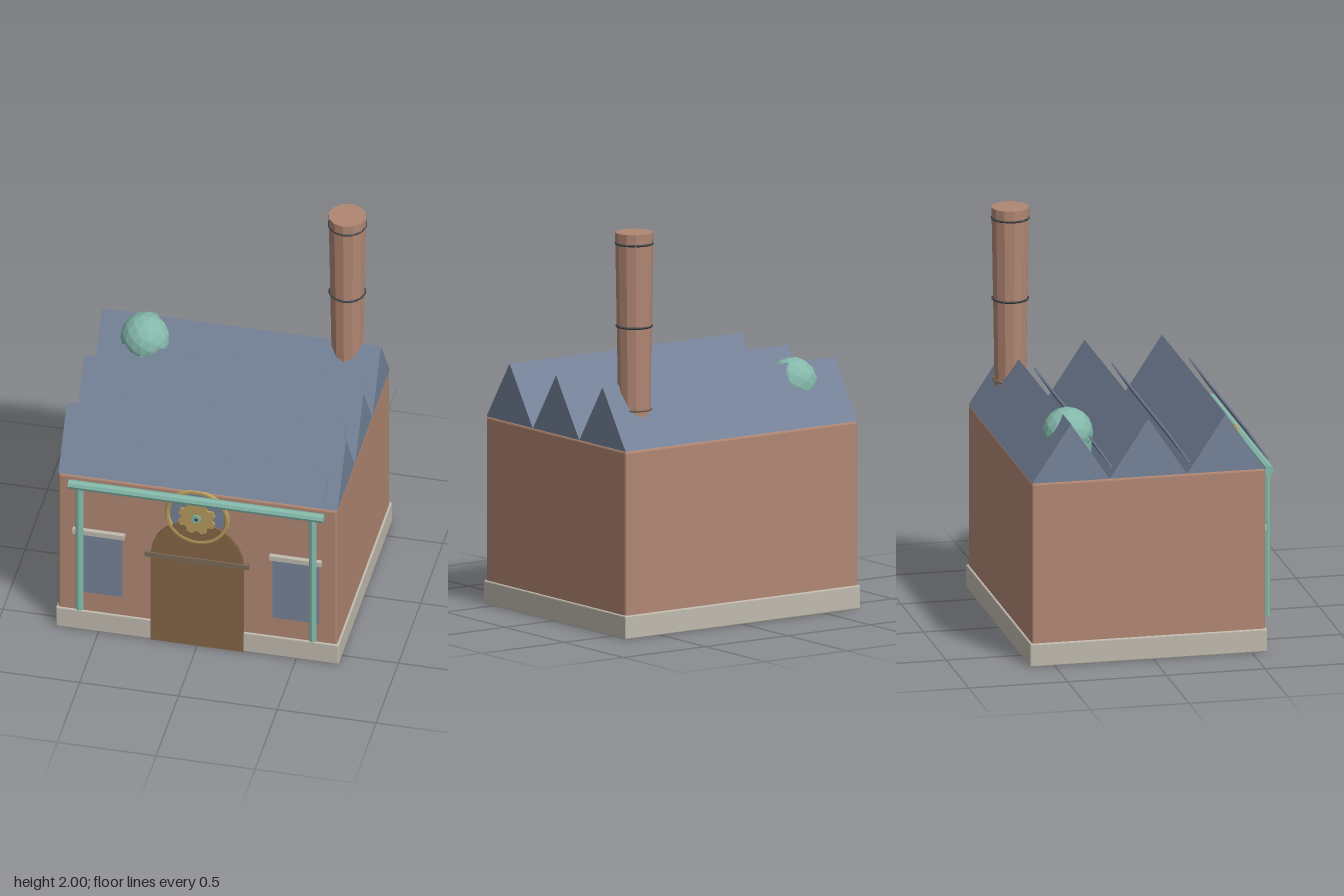
import * as THREE from 'three';
import { RoundedBoxGeometry } from 'three/addons/geometries/RoundedBoxGeometry.js';

const mat = (name, color, flat = true) => {
  const m = new THREE.MeshStandardMaterial({ color, flatShading: flat });
  m.name = name;
  return m;
};

export function createModel() {
  const brick = mat('brick', 0xb08672);
  const stone = mat('stone', 0xc0baae);
  const slate = mat('slate', 0x758298);
  const teal = mat('patina', 0x84b8aa);
  const brass = mat('brass', 0xb69a5c);
  const wood = mat('wood', 0x846446);
  const iron = mat('iron', 0x404448);
  const bronze = mat('bronze', 0x7b6b58);

  const model = new THREE.Group();
  model.name = 'factory';
  const add = (name, geometry, material, x = 0, y = 0, z = 0, parent = model) => {
    const mesh = new THREE.Mesh(geometry, material);
    mesh.name = name;
    mesh.position.set(x, y, z);
    parent.add(mesh);
    return mesh;
  };
  const box = (w, h, d) => new THREE.BoxGeometry(w, h, d);
  const extrude = (shape, depth) =>
    new THREE.ExtrudeGeometry(shape, { depth, bevelEnabled: false, curveSegments: 6 });

  // Plinth and walls
  add('plinth', new RoundedBoxGeometry(1.43, 0.118, 1.2, 1, 0.006), stone, 0, 0.059, -0.023);
  add('walls', new RoundedBoxGeometry(1.41, 0.84, 1.18, 1, 0.01), brick, 0, 0.52, -0.022);

  // Sawtooth roof with a raised skylight on each front slope
  [0.368, -0.024, -0.416].forEach((z) => {
    const tooth = new THREE.Shape();
    tooth.moveTo(-0.195, 0);
    tooth.lineTo(0.195, 0);
    tooth.lineTo(0, 0.295);
    tooth.closePath();
    const roof = add('roofTooth', extrude(tooth, 1.412), slate, -0.706, 0.941, z);
    roof.rotation.y = Math.PI / 2;
    const skylight = add('skylight', box(1.29, 0.188, 0.009), slate, 0, 1.05, z + 0.175);
    skylight.rotation.x = -Math.atan2(0.105, 0.155);
  });

  // Chimney, wider at the top, with iron bands
  add('chimney', new THREE.CylinderGeometry(0.095, 0.077, 1.05, 12), brick, 0.53, 1.475, -0.44);
  [[1.945, 0.092, iron], [1.53, 0.088, iron], [1.115, 0.086, bronze]].forEach(([y, r, m]) => {
    const band = add('chimneyBand', new THREE.TorusGeometry(r, 0.006, 5, 16), m, 0.53, y, -0.44);
    band.rotation.x = Math.PI / 2;
  });

  // Domed roof tank
  add('tankDome', new THREE.IcosahedronGeometry(0.127, 2), teal, -0.475, 1.125, -0.38);
  add('tankBody', new THREE.CylinderGeometry(0.124, 0.12, 0.18, 12), teal, -0.475, 1.045, -0.38);

  // Arched door
  const arch = new THREE.Shape();
  arch.moveTo(-0.235, 0);
  arch.lineTo(0.235, 0);
  arch.lineTo(0.235, 0.53);
  arch.absarc(0, 0.53, 0.235, 0, Math.PI, false);
  arch.closePath();
  add('door', extrude(arch, 0.03), wood, 0, 0.004, 0.555);
  add('doorBar', box(0.525, 0.027, 0.03), bronze, 0, 0.533, 0.577);

  // Round window with a gear
  const emblem = new THREE.Group();
  emblem.name = 'gearWindow';
  emblem.position.set(0, 0.798, 0.57);
  model.add(emblem);
  const glass = add('roundGlass', new THREE.CylinderGeometry(0.145, 0.145, 0.009, 24), slate, 0, 0, 0, emblem);
  glass.rotation.x = Math.PI / 2;
  add('windowRing', new THREE.TorusGeometry(0.152, 0.013, 6, 28), brass, 0, 0, 0.006, emblem);
  const gear = new THREE.Shape();
  for (let i = 0; i < 8; i++) {
    [[-0.3, 0.078], [-0.16, 0.096], [0.16, 0.096], [0.3, 0.078]].forEach(([da, r], k) => {
      const a = (i * Math.PI) / 4 + Math.PI / 8 + da;
      const p = [r * Math.cos(a), r * Math.sin(a)];
      if (i + k === 0) gear.moveTo(...p);
      else gear.lineTo(...p);
    });
  }
  gear.closePath();
  add('gear', extrude(gear, 0.012), brass, 0, 0, 0.013, emblem);
  const hub = add('gearHub', new THREE.CylinderGeometry(0.025, 0.025, 0.012, 10), teal, 0, 0, 0.027, emblem);
  hub.rotation.x = Math.PI / 2;
  const pin = add('gearPin', new THREE.CylinderGeometry(0.009, 0.009, 0.004, 8), iron, 0, 0, 0.034, emblem);
  pin.rotation.x = Math.PI / 2;

  // Side windows and downpipes, mirrored
  [-1, 1].forEach((s) => {
    add('window', box(0.235, 0.365, 0.009), slate, s * 0.497, 0.418, 0.572);
    add('windowLintel', box(0.264, 0.026, 0.03), stone, s * 0.498, 0.612, 0.577);
    add('downpipe', new THREE.CylinderGeometry(0.019, 0.019, 0.762, 8), teal, s * 0.59, 0.531, 0.602);
  });

  // Front gutter pipe
  const gutter = add('gutterPipe', new THREE.CylinderGeometry(0.024, 0.024, 1.29, 8), teal, 0, 0.912, 0.602);
  gutter.rotation.z = Math.PI / 2;

  return model;
}
